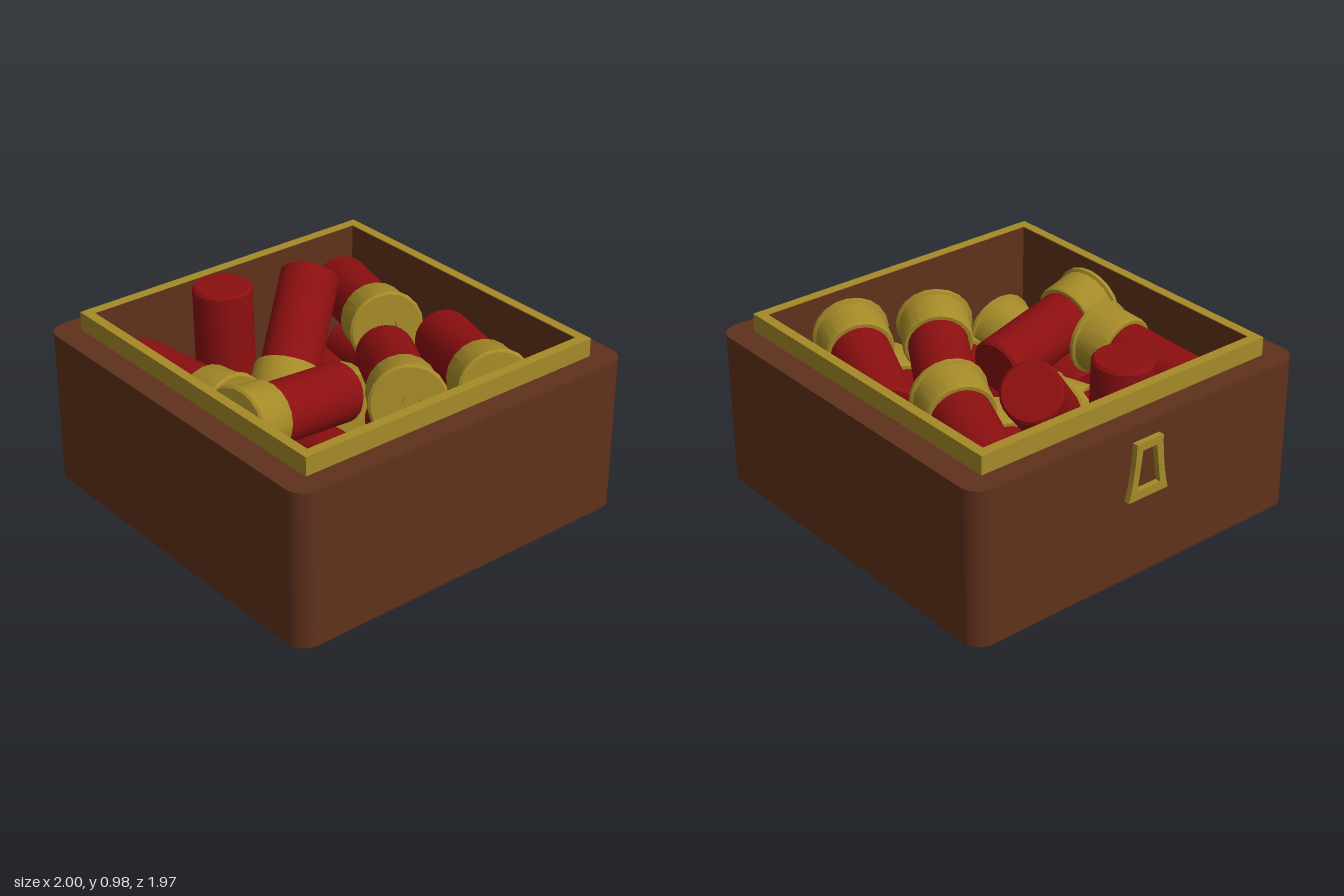
import * as THREE from 'three';
import { toCreasedNormals } from 'three/addons/utils/BufferGeometryUtils.js';

const wood = new THREE.MeshStandardMaterial({ color: 0x5f311b });
const brass = new THREE.MeshStandardMaterial({ color: 0xa58a28 });
const red = new THREE.MeshStandardMaterial({ color: 0x8c0f10 });

// Rectangle outline with optional rounded corners
function rect(path, x0, x1, z0, z1, r = 0) {
  if (!r) {
    path.moveTo(x0, z0).lineTo(x1, z0).lineTo(x1, z1).lineTo(x0, z1).closePath();
    return path;
  }
  path.moveTo(x0 + r, z0);
  path.absarc(x1 - r, z0 + r, r, -Math.PI / 2, 0);
  path.absarc(x1 - r, z1 - r, r, 0, Math.PI / 2);
  path.absarc(x0 + r, z1 - r, r, Math.PI / 2, Math.PI);
  path.absarc(x0 + r, z0 + r, r, Math.PI, Math.PI * 1.5);
  path.closePath();
  return path;
}

// Horizontal slab from y0 to y1, with an optional opening
function slab(name, material, outer, hole, y0, y1) {
  const shape = rect(new THREE.Shape(), ...outer);
  if (hole) shape.holes.push(rect(new THREE.Path(), ...hole));
  const geo = new THREE.ExtrudeGeometry(shape, { depth: y1 - y0, bevelEnabled: false, curveSegments: 8 });
  geo.rotateX(-Math.PI / 2).translate(0, y0, 0);
  const mesh = new THREE.Mesh(toCreasedNormals(geo, 0.6), material);
  mesh.name = name;
  return mesh;
}

function lathe(points, segments) {
  const geo = new THREE.LatheGeometry(points.map(([r, y]) => new THREE.Vector2(r, y)), segments);
  return toCreasedNormals(geo, 0.6);
}

// Cartridge along +y, base at the origin
const LENGTH = 0.73;
const tubeGeo = lathe([
  [0.15, 0.19], [0.15, LENGTH - 0.015], [0.138, LENGTH], [0, LENGTH],
], 24);
const capGeo = lathe([
  [0, 0.012], [0.03, 0.012], [0.03, 0.022], [0.052, 0.022], [0.052, 0], [0.18, 0],
  [0.192, 0.01], [0.192, 0.028], [0.178, 0.036], [0.176, 0.2], [0.168, 0.212], [0.149, 0.212],
], 20);

function cartridge(tip, base) {
  const group = new THREE.Group();
  group.name = 'cartridge';
  const tube = new THREE.Mesh(tubeGeo, red);
  tube.name = 'cartridgeTube';
  const cap = new THREE.Mesh(capGeo, brass);
  cap.name = 'cartridgeCap';
  group.add(tube, cap);
  const from = new THREE.Vector3(...base);
  const dir = new THREE.Vector3(...tip).sub(from).normalize();
  group.quaternion.setFromUnitVectors(new THREE.Vector3(0, 1, 0), dir);
  group.position.copy(from);
  return group;
}

export function createModel() {
  const model = new THREE.Group();
  model.name = 'cartridgeBox';

  // Wooden case with floor, brass lip and inner lining
  const outer = [-0.97, 1, -0.983, 0.983, 0.1];
  const inner = [-0.805, 0.83, -0.803, 0.803];
  model.add(
    slab('caseFloor', wood, outer, null, 0, 0.13),
    slab('caseWalls', wood, outer, inner, 0.13, 0.8),
    slab('brassLip', brass, [-0.857, 0.882, -0.853, 0.853], inner, 0.8, 0.895),
    slab('innerLining', wood, inner, [-0.802, 0.827, -0.8, 0.8], 0.13, 0.892),
  );

  // Tapered latch loop on the side
  const loop = new THREE.Shape();
  loop.moveTo(-0.12, 0.43).lineTo(0.12, 0.43).quadraticCurveTo(0.085, 0.56, 0.08, 0.72);
  loop.lineTo(-0.08, 0.72).quadraticCurveTo(-0.085, 0.56, -0.12, 0.43);
  const gap = new THREE.Path();
  gap.moveTo(-0.07, 0.475).lineTo(-0.042, 0.68).lineTo(0.042, 0.68).lineTo(0.07, 0.475).closePath();
  loop.holes.push(gap);
  const latchGeo = new THREE.ExtrudeGeometry(loop, { depth: 0.035, bevelEnabled: false, curveSegments: 6 });
  latchGeo.rotateY(-Math.PI / 2).translate(-0.965, 0, 0);
  const latch = new THREE.Mesh(toCreasedNormals(latchGeo, 0.6), brass);
  latch.name = 'latch';
  model.add(latch);

  // Cartridges as [tip, base]
  const load = [
    // lower layer
    [[-0.65, 0.32, -0.64], [0.08, 0.36, -0.6]],
    [[0.1, 0.31, -0.65], [0.82, 0.37, -0.61]],
    [[0.07, 0.32, -0.33], [0.77, 0.38, -0.19]],
    [[-0.67, 0.32, -0.31], [0.0, 0.38, -0.14]],
    [[0.08, 0.31, 0.18], [0.81, 0.36, 0.2]],
    [[0.1, 0.29, 0.57], [0.79, 0.4, 0.59]],
    [[-0.61, 0.3, 0.54], [0.04, 0.34, 0.27]],
    // upper layer
    [[-0.715, 0.63, -0.66], [-0.06, 0.71, -0.41]],
    [[0.08, 0.63, -0.66], [0.73, 0.72, -0.4]],
    [[-0.01, 0.6, -0.36], [0.57, 0.71, 0.0]],
    [[-0.69, 0.59, 0.64], [0.03, 0.64, 0.6]],
    [[0.13, 0.6, 0.05], [0.23, 0.71, 0.75]],
    // leaning and upright
    [[-0.53, 0.87, -0.3], [-0.2, 0.4, 0.15]],
    [[-0.62, 0.92, 0.18], [-0.6, 0.19, 0.18]],
  ];
  for (const [tip, base] of load) model.add(cartridge(tip, base));
  return model;
}
